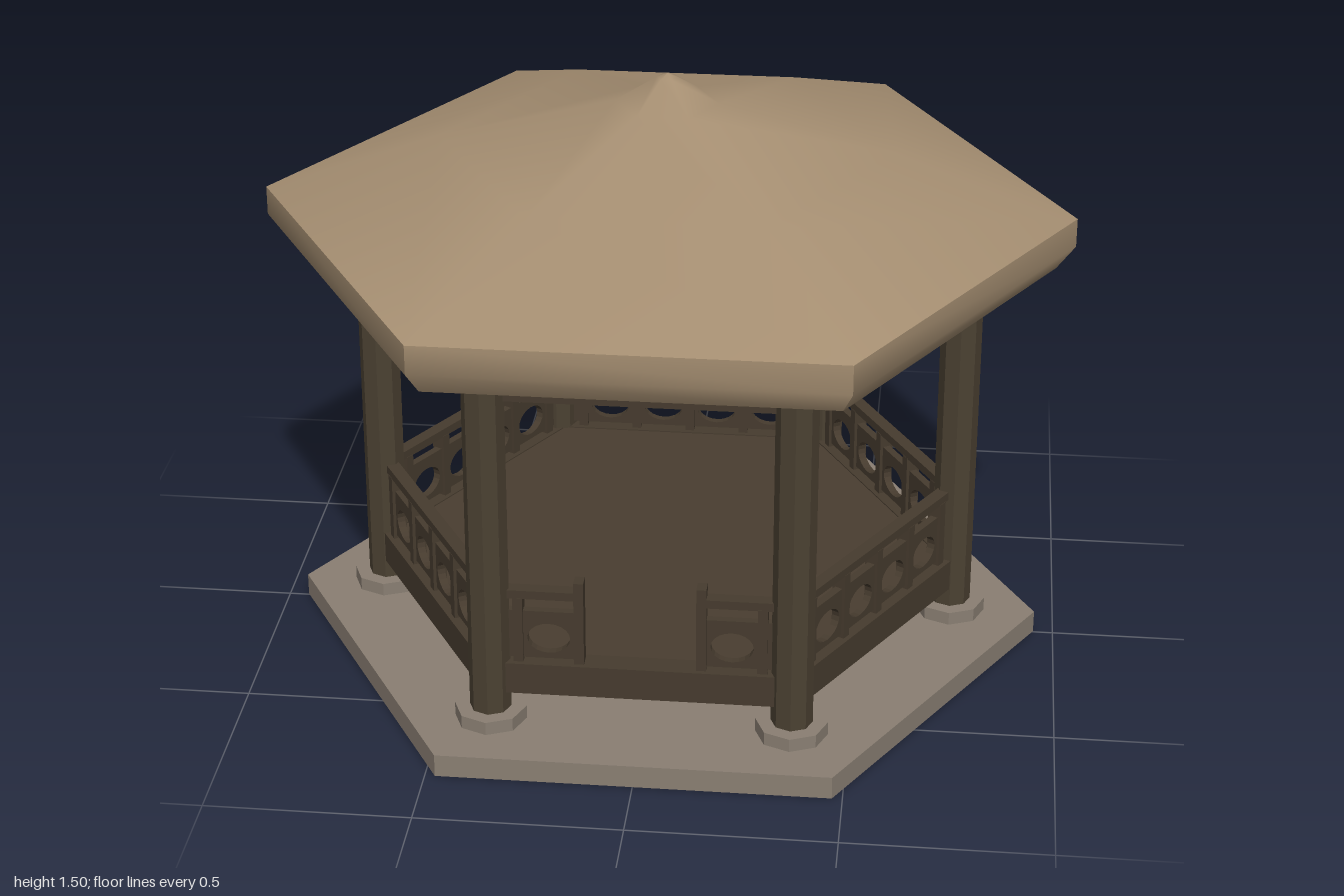
import * as THREE from 'three';

const mat = (name, color) => Object.assign(new THREE.MeshStandardMaterial({ color }), { name });

export function createModel() {
  const stone = mat('stone', 0x8a7f73);
  const roofTan = mat('roof tan', 0xa68f72);
  const wood = mat('column wood', 0x4b4132);
  const railWood = mat('rail wood', 0x463b2e);
  const floorWood = mat('floor wood', 0x4a3e31);

  const model = new THREE.Group();
  model.name = 'pavilion';
  const SIDE = Math.PI / 3;
  const COLUMN_R = 0.732;
  const RAIL_APOTHEM = 0.627;

  const add = (parent, name, geometry, material, x = 0, y = 0, z = 0) => {
    const mesh = new THREE.Mesh(geometry, material);
    mesh.name = name;
    mesh.position.set(x, y, z);
    parent.add(mesh);
    return mesh;
  };
  const flat = (geometry) => {
    const g = geometry.toNonIndexed();
    g.computeVertexNormals();
    return g;
  };
  // Hexagonal slab between two heights, corners on the x axis
  const hexSlab = (name, r, y0, y1, material) =>
    add(model, name, flat(new THREE.CylinderGeometry(r, r, y1 - y0, 6, 1, false, Math.PI / 6)),
      material, 0, (y0 + y1) / 2, 0);
  // Box given by its extents along a side and in height
  const bar = (parent, name, x0, x1, y0, y1, depth, material) =>
    add(parent, name, new THREE.BoxGeometry(x1 - x0, y1 - y0, depth), material, (x0 + x1) / 2, (y0 + y1) / 2, 0);
  const profile = (pts) => pts.map(([x, y]) => new THREE.Vector2(x, y));

  // Ground slab, raised deck, and ceiling framed by the upper beams
  hexSlab('plinth', 0.95, 0.002, 0.06, stone);
  hexSlab('deck', 0.715, 0.146, 0.222, floorWood);
  hexSlab('ceiling', 0.715, 0.926, 0.986, wood);

  // Roof: smooth swept cap, rounded fascia and flat soffit
  add(model, 'roofCap', new THREE.LatheGeometry(
    profile([[1, 1.163], [0.56, 1.318], [0.126, 1.428], [0.025, 1.492], [0, 1.502]]), 6, Math.PI / 6), roofTan);
  add(model, 'soffit', new THREE.LatheGeometry(profile([[0, 1.031], [0.955, 1.031]]), 6, Math.PI / 6), roofTan);
  for (let k = 0; k < 6; k++) {
    const fascia = new THREE.LatheGeometry(
      profile([[0.955, 1.031], [1, 1.09], [1, 1.163]]), 1, -Math.PI / 6 + k * SIDE, SIDE);
    fascia.computeVertexNormals();
    add(model, 'fascia', fascia, roofTan);
  }

  // Columns on stone feet at the six corners; the feet pass through the slab
  for (let k = 0; k < 6; k++) {
    const a = Math.PI / 6 + k * SIDE;
    const x = COLUMN_R * Math.sin(a), z = COLUMN_R * Math.cos(a);
    add(model, 'columnFoot', flat(new THREE.CylinderGeometry(0.088, 0.088, 0.094, 8)), stone, x, 0.047, z);
    add(model, 'column', flat(new THREE.CylinderGeometry(0.051, 0.051, 0.941, 8)), wood, x, 0.5625, z);
  }

  // Pierced panel with one oval opening per bay
  const panel = (x0, x1, centres) => {
    const s = new THREE.Shape();
    s.moveTo(x0, 0.234).lineTo(x1, 0.234).lineTo(x1, 0.362).lineTo(x0, 0.362).closePath();
    for (const c of centres) {
      const hole = new THREE.Path();
      hole.absellipse(c, 0.289, 0.052, 0.04, 0, Math.PI * 2, true);
      s.holes.push(hole);
    }
    const g = new THREE.ExtrudeGeometry(s, { depth: 0.02, bevelEnabled: false, curveSegments: 10 });
    return g.translate(0, 0, -0.01);
  };

  // Beams and railings for each side, let into the columns; the front has an entrance
  const PITCH = 0.147;
  const END = 0.34;
  for (let k = 0; k < 6; k++) {
    const pivot = new THREE.Group();
    pivot.name = k ? 'side' : 'entranceSide';
    pivot.rotation.y = k * SIDE;
    model.add(pivot);
    const side = new THREE.Group();
    side.name = 'railing';
    side.position.z = RAIL_APOTHEM;
    pivot.add(side);

    bar(side, 'lowerBeam', -END, END, 0.143, 0.225, 0.06, railWood);
    bar(side, 'upperBeam', -END, END, 0.921, 0.99, 0.025, railWood);

    // Spans of railing: whole side, or a stub on each side of the entrance
    const spans = k ? [[-END, END]] : [[-END, -PITCH], [PITCH, END]];
    for (const [x0, x1] of spans) {
      const centres = [-1.5, -0.5, 0.5, 1.5].map((i) => i * PITCH).filter((c) => c > x0 && c < x1);
      add(side, 'piercedPanel', panel(x0, x1, centres), railWood);
      bar(side, 'topRail', x0, x1, 0.398, 0.42, 0.034, railWood);
    }
    for (let i = -2; i <= 2; i++) {
      if (!k && i === 0) continue;
      const top = !k && Math.abs(i) === 1 ? 0.447 : 0.4;
      bar(side, 'railPost', i * PITCH - 0.012, i * PITCH + 0.012, 0.222, top, 0.036, railWood);
    }
  }
  return model;
}
